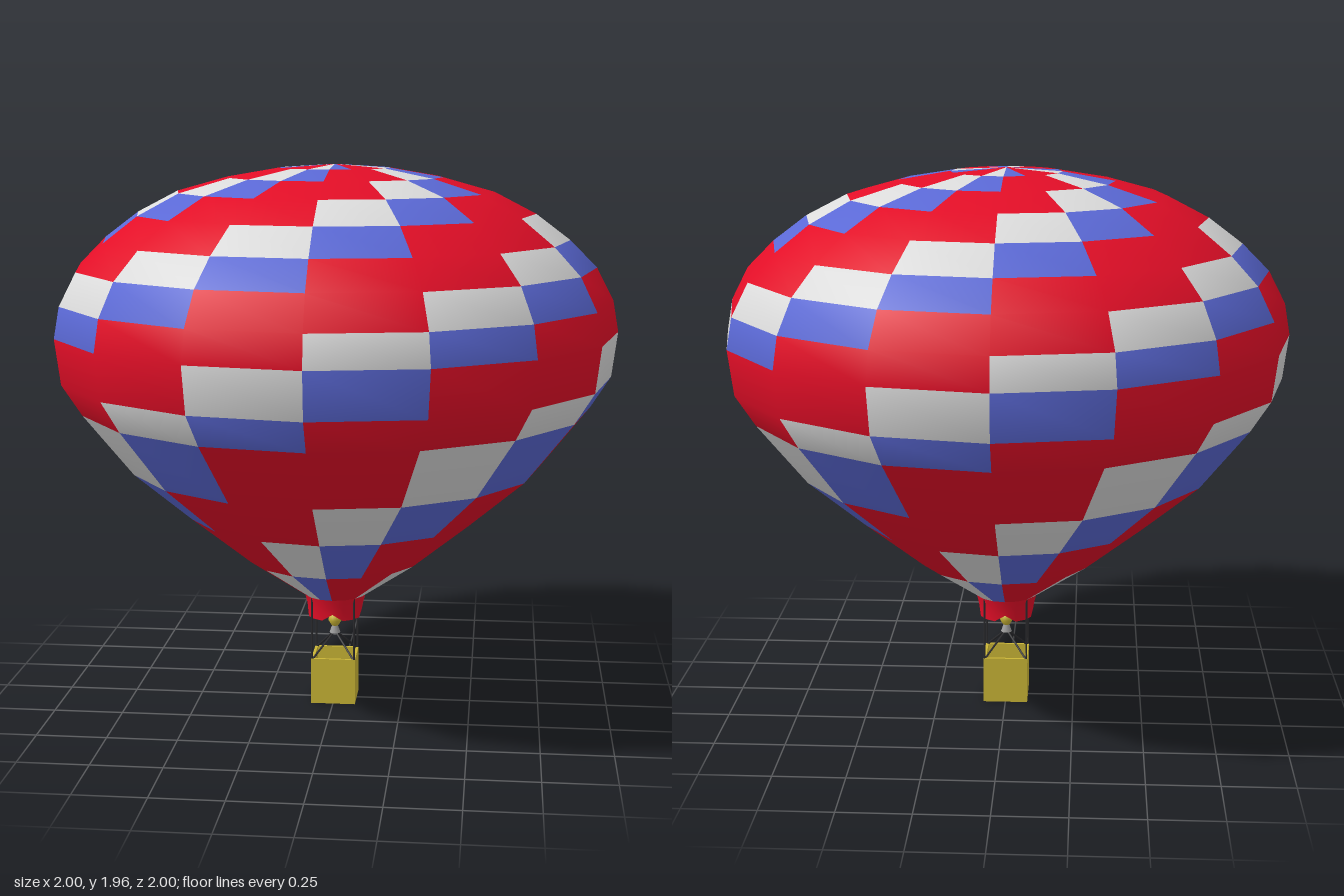
import * as THREE from 'three';

const mat = (name, color, side = THREE.FrontSide) => {
  const m = new THREE.MeshStandardMaterial({ color, side });
  m.name = name;
  return m;
};

export function createModel() {
  const red = mat('red fabric', 0xe30e27, THREE.DoubleSide);
  const white = mat('white fabric', 0xdcdcdc, THREE.DoubleSide);
  const blue = mat('blue fabric', 0x5b69d6, THREE.DoubleSide);
  const yellow = mat('yellow wicker', 0xcbb636);
  const dark = mat('dark cable', 0x2b2b2e);
  const grey = mat('grey metal', 0x9a9a9a);

  const model = new THREE.Group();
  model.name = 'hotAirBalloon';
  const add = (name, geometry, material, parent = model) => {
    const mesh = new THREE.Mesh(geometry, material);
    mesh.name = name;
    parent.add(mesh);
    return mesh;
  };
  const group = (name) => {
    const g = new THREE.Group();
    g.name = name;
    model.add(g);
    return g;
  };
  const lathe = (points) => new THREE.LatheGeometry(points.map(([r, y]) => new THREE.Vector2(r, y)), SIDES);
  const SIDES = 16;

  // Envelope: rings of panels, with white and blue checks climbing in a spiral
  const profile = [
    [0.11, 0.4], [0.315, 0.54], [0.53, 0.715], [0.735, 0.89], [0.91, 1.11], [0.98, 1.22],
    [1, 1.38], [0.98, 1.49], [0.92, 1.605], [0.825, 1.7], [0.705, 1.79], [0.56, 1.865],
    [0.38, 1.915], [0.195, 1.947], [0, 1.96],
  ];
  const envelope = lathe(profile);
  const rings = profile.length - 1;
  // LatheGeometry skips one triangle of each panel that touches the axis only in area, not in index
  for (let side = 0; side < SIDES; side++) {
    for (let ring = 0; ring < rings; ring++) {
      const step = (side - ring + 16) % 4;
      envelope.addGroup((side * rings + ring) * 6, 6, step === 2 ? 1 : step === 3 ? 2 : 0);
    }
  }
  add('envelope', envelope, [red, white, blue]);

  // Skirt with an arched notch on each of its four sides
  const skirt = lathe([[0.1, 0.32], [0.102, 0.36], [0.113, 0.402]]);
  const p = skirt.attributes.position;
  for (let side = 0; side <= SIDES; side++) {
    if (side % 4 === 0) p.setY(side * 3, 0.345);
  }
  add('skirt', skirt, red);

  // Open basket
  const basket = group('basket');
  const half = 0.081, wall = 0.01, height = 0.17;
  add('basketFloor', new THREE.BoxGeometry(2 * half, wall, 2 * half), yellow, basket).position.y = wall / 2;
  for (let i = 0; i < 4; i++) {
    const side = new THREE.BoxGeometry(2 * half, height, wall);
    side.translate(0, height / 2, half - wall / 2);
    side.rotateY((i * Math.PI) / 2);
    add('basketWall', side, yellow, basket);
  }

  // Cables: uprights to the envelope and stays that carry the burner
  const cables = group('cables');
  const rod = (name, a, b, radius) => {
    const dir = b.clone().sub(a);
    const mesh = add(name, new THREE.CylinderGeometry(radius, radius, dir.length(), 6), dark, cables);
    mesh.position.copy(a).add(b).multiplyScalar(0.5);
    mesh.quaternion.setFromUnitVectors(new THREE.Vector3(0, 1, 0), dir.normalize());
  };
  for (const x of [-0.077, 0.077]) {
    for (const z of [-0.077, 0.077]) {
      const corner = new THREE.Vector3(x, 0.165, z);
      rod('upright', corner, new THREE.Vector3(x, 0.41, z), 0.004);
      rod('burnerStay', corner, new THREE.Vector3(0, 0.255, 0), 0.004);
    }
  }

  // Burner and flame
  const burner = group('burner');
  add('burnerNozzle', new THREE.CylinderGeometry(0.01, 0.02, 0.03, 12), grey, burner).position.y = 0.264;
  const flame = lathe([[0, 0.268], [0.014, 0.278], [0.025, 0.297], [0.021, 0.312], [0.009, 0.328], [0, 0.345]]);
  add('flame', flame, yellow, burner);

  return model;
}
